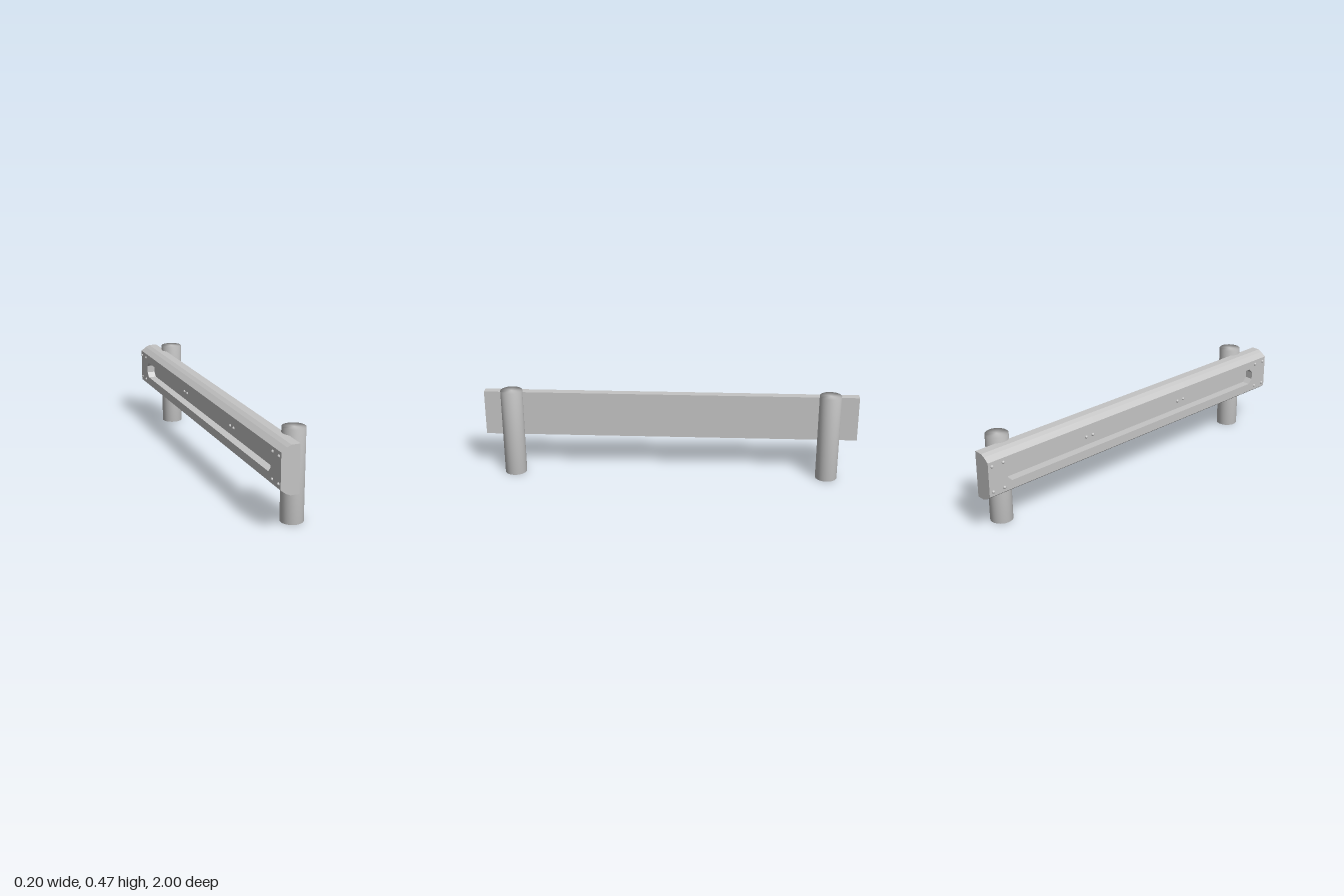
import * as THREE from 'three';

export function createModel() {
  const model = new THREE.Group();
  const grey = new THREE.MeshStandardMaterial({ color: 0xc4c4c4 });
  grey.name = 'grey metal';

  const add = (name, geometry, x = 0, y = 0, z = 0) => {
    const mesh = new THREE.Mesh(geometry, grey);
    mesh.name = name;
    mesh.position.set(x, y, z);
    model.add(mesh);
    return mesh;
  };
  const extrude = (points, depth) => new THREE.ExtrudeGeometry(
    new THREE.Shape(points.map(([a, b]) => new THREE.Vector2(a, b))),
    { depth, bevelEnabled: false });

  const faceX = -0.095, recessX = -0.051, midY = 0.3215;
  const slotHalf = 0.045, slotEnd = 0.89, corner = 0.025, seam = 0.333;

  // Rail cross-section, open to the bolted side where the slot runs
  const lower = [[0, 0.2], [-0.045, 0.2], [-0.067, 0.21], [faceX, 0.231]];
  const upper = lower.map(([x, y]) => [x, 2 * midY - y]).reverse();
  const slot = [
    [faceX, midY - slotHalf], [recessX, midY - slotHalf],
    [recessX, midY + slotHalf], [faceX, midY + slotHalf],
  ];
  const solidProfile = [...lower, ...upper];
  const slottedProfile = [...lower, ...slot, ...upper];

  // Three slotted rail segments
  const cuts = [-slotEnd, -seam, seam, slotEnd];
  for (let i = 0; i < 3; i++) {
    add('railSegment', extrude(slottedProfile, cuts[i + 1] - cuts[i]), 0, 0, cuts[i]);
  }

  // Solid rail ends
  add('railEndBack', extrude(solidProfile, 1 - slotEnd), 0, 0, -1);
  add('railEndFront', extrude(solidProfile, 1 - slotEnd), 0, 0, slotEnd);

  const boltGeometry = new THREE.SphereGeometry(0.0085, 14, 10);
  const postGeometry = new THREE.LatheGeometry(
    [[0, 0], [0.058, 0], [0.058, 0.47], [0, 0.47]].map(([r, y]) => new THREE.Vector2(r, y)), 32);

  for (const s of [-1, 1]) {
    // Round posts with softly shaded ends
    add(s < 0 ? 'backPost' : 'frontPost', postGeometry, 0.043, 0, s * 0.842);

    for (const v of [-1, 1]) {
      // Chamfered slot corners
      const y = midY + v * slotHalf;
      const fillet = extrude([
        [s * slotEnd, y], [s * (slotEnd - corner), y], [s * slotEnd, y - v * corner],
      ], recessX - faceX);
      fillet.rotateY(-Math.PI / 2);
      add('slotCorner', fillet, recessX);

      // Bolts at the rail ends
      for (const z of [0.912, 0.978]) add('endBolt', boltGeometry, faceX, midY + v * 0.067, s * z);
      // Bolts in the slot at each joint
      add('jointBolt', boltGeometry, recessX, midY, s * seam + v * 0.022);
    }
  }
  return model;
}
